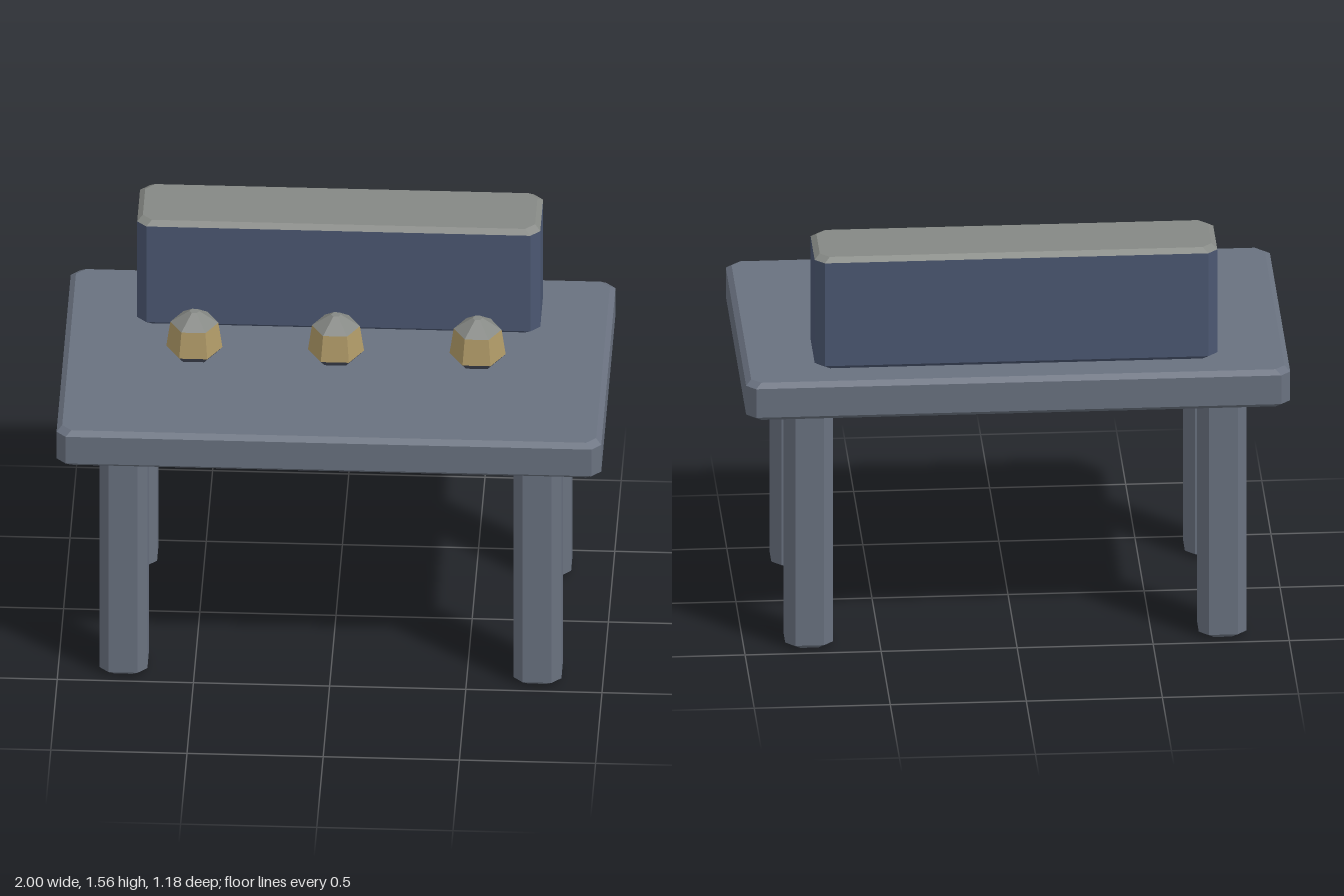
import * as THREE from 'three';

const mat = (color) => new THREE.MeshStandardMaterial({ color, flatShading: true });

// Closed faceted solid from stacked rings; each ring is { y, pts: [[x, z], ...] }
function loft(rings) {
  const pos = [];
  const n = rings[0].pts.length;
  const v = (ring, i) => [ring.pts[i % n][0], ring.y, ring.pts[i % n][1]];
  const tri = (a, b, c) => pos.push(...a, ...b, ...c);
  for (let r = 0; r < rings.length - 1; r++) {
    const lo = rings[r], hi = rings[r + 1];
    for (let i = 0; i < n; i++) {
      tri(v(lo, i), v(hi, i), v(hi, i + 1));
      tri(v(lo, i), v(hi, i + 1), v(lo, i + 1));
    }
  }
  const bottom = rings[0], top = rings[rings.length - 1];
  for (let i = 1; i < n - 1; i++) {
    tri(v(bottom, 0), v(bottom, i), v(bottom, i + 1));
    tri(v(top, 0), v(top, i + 1), v(top, i));
  }
  const g = new THREE.BufferGeometry();
  g.setAttribute('position', new THREE.Float32BufferAttribute(pos, 3));
  g.computeVertexNormals();
  return g;
}

// Rectangle with cut corners
function octagon(y, w, d, inset = 0, cut = 0.035) {
  const x = w / 2 - inset, z = d / 2 - inset;
  return {
    y,
    pts: [
      [x, -z + cut], [x, z - cut], [x - cut, z], [-x + cut, z],
      [-x, z - cut], [-x, -z + cut], [-x + cut, -z], [x - cut, -z],
    ],
  };
}

const EDGE = 0.017, INSET = 0.02;

function chamferedBox(w, d, y0, y1) {
  return loft([
    octagon(y0, w, d, INSET), octagon(y0 + EDGE, w, d),
    octagon(y1 - EDGE, w, d), octagon(y1, w, d, INSET),
  ]);
}

function hexagon(y, r) {
  const pts = [];
  for (let i = 0; i < 6; i++) {
    const a = (i * Math.PI) / 3;
    pts.push([r * Math.cos(a), r * Math.sin(a)]);
  }
  return { y, pts };
}

export function createModel() {
  const model = new THREE.Group();
  const add = (name, geometry, material, x = 0, y = 0, z = 0, parent = model) => {
    const mesh = new THREE.Mesh(geometry, material);
    mesh.name = name;
    mesh.position.set(x, y, z);
    parent.add(mesh);
    return mesh;
  };

  const slate = mat(0x69717f);
  const navy = mat(0x4b5771);
  const grey = mat(0x858884);
  const brass = mat(0xb09a68);
  const dark = mat(0x4a5060);

  // Table top and four legs
  add('tableTop', chamferedBox(2, 1.18, 0.965, 1.113), slate);
  const legGeometry = chamferedBox(0.176, 0.176, 0, 0.97);
  for (const [side, sx] of [['Left', 1], ['Right', -1]]) {
    for (const [end, sz] of [['front', 1], ['back', -1]]) {
      add(`${end}${side}Leg`, legGeometry, slate, sx * 0.76, 0, sz * 0.38);
    }
  }

  // Long upright cabinet with a pale lid
  const w = 1.48, d = 0.293, y0 = 1.113, y1 = 1.557;
  const cabinet = new THREE.Group();
  cabinet.name = 'cabinet';
  cabinet.position.z = -0.325;
  model.add(cabinet);
  add('cabinetBody', loft([
    octagon(y0, w, d, INSET), octagon(y0 + EDGE, w, d), octagon(y1 - EDGE, w, d),
  ]), navy, 0, 0, 0, cabinet);
  add('cabinetLid', loft([
    octagon(y1 - EDGE, w, d), octagon(y1, w, d, INSET),
  ]), grey, 0, 0, 0, cabinet);

  // Row of three six-sided knobs
  const baseGeometry = loft([hexagon(0, 0.078), hexagon(0.026, 0.103)]);
  const bodyGeometry = loft([hexagon(0.026, 0.103), hexagon(0.13, 0.088)]);
  const tipGeometry = loft([hexagon(0.13, 0.088), hexagon(0.178, 0.018)]);
  [['right', -0.52], ['middle', 0], ['left', 0.52]].forEach(([place, x]) => {
    const knob = new THREE.Group();
    knob.name = `${place}Knob`;
    knob.position.set(x, 1.113, 0);
    model.add(knob);
    add('knobBase', baseGeometry, dark, 0, 0, 0, knob);
    add('knobBody', bodyGeometry, brass, 0, 0, 0, knob);
    add('knobTip', tipGeometry, grey, 0, 0, 0, knob);
  });

  return model;
}
